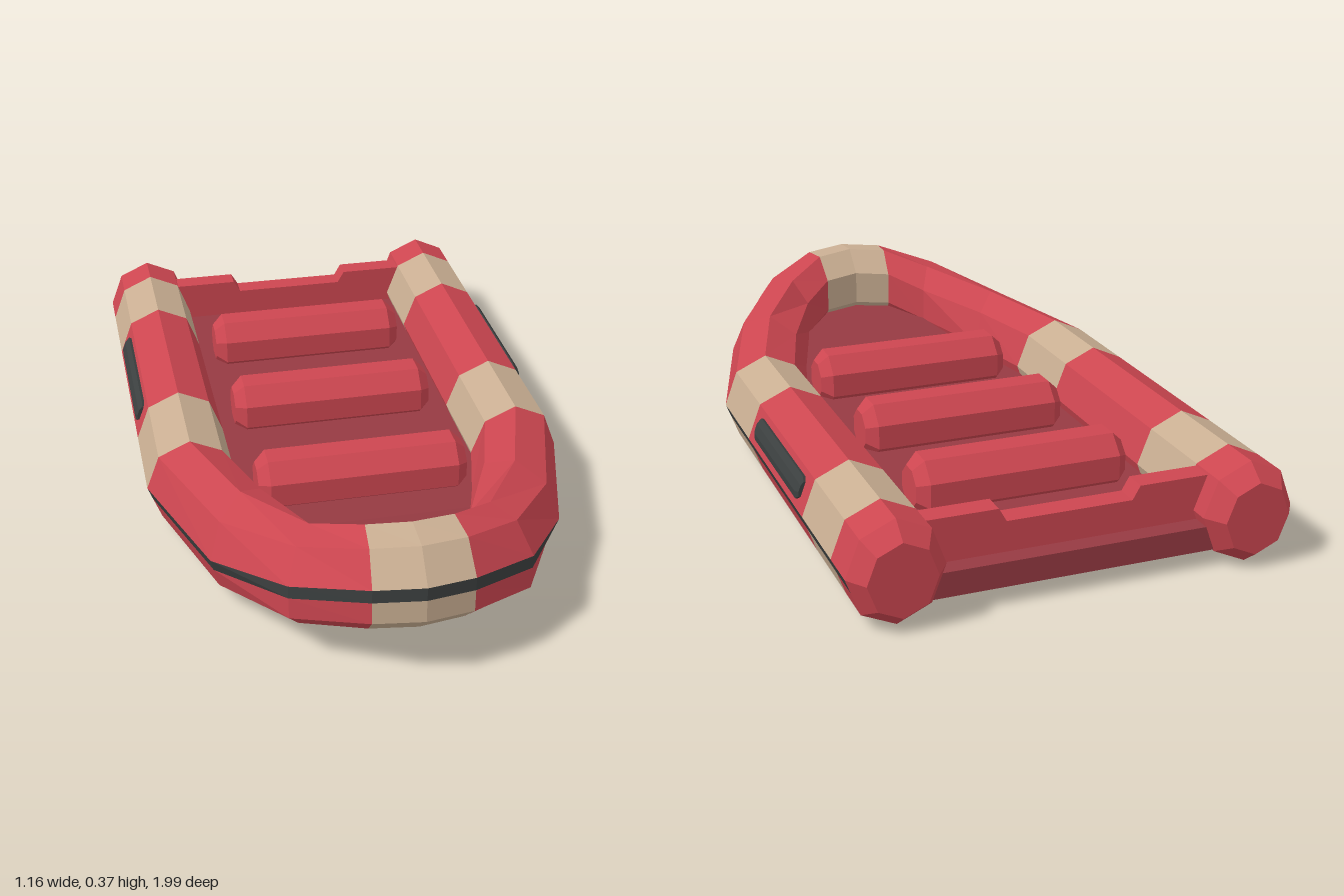
import * as THREE from 'three';

const mat = (color) => new THREE.MeshStandardMaterial({ color, flatShading: true, roughness: 0.8 });
const RED = mat(0xcc4650), TAN = mat(0xc9ae92), DARK = mat(0x3c4040), FLOOR = mat(0x963a42);

const named = (name, geometry, material) => {
  const mesh = new THREE.Mesh(geometry, material);
  mesh.name = name;
  return mesh;
};

// Flat-shaded geometry from a list of triangle corner points
const faceted = (points) => {
  const g = new THREE.BufferGeometry().setFromPoints(points);
  g.computeVertexNormals();
  return g;
};
const quad = (list, a, b, c, d) => list.push(a, b, c, a, c, d);

// Tube stations, stern to bow: centre, outward direction (x, z), tilt in degrees, scale
const side = [
  { c: [0.4575, 0.135, -1], out: [1, 0], tilt: 0, s: 0.71 },
  { c: [0.4575, 0.135, -0.95], out: [1, 0], tilt: 0, s: 1 },
  { c: [0.4575, 0.135, -0.84], out: [1, 0], tilt: 0, s: 1 },
  { c: [0.4575, 0.135, -0.6], out: [1, 0], tilt: 0, s: 1 },
  { c: [0.4575, 0.135, -0.07], out: [1, 0], tilt: 0, s: 1 },
  { c: [0.4575, 0.135, 0.2], out: [1, 0], tilt: 0, s: 1 },
  { c: [0.37, 0.152, 0.5], out: [0.735, 0.816], tilt: 3, s: 1 },
  { c: [0.25, 0.2, 0.755], out: [0.5, 0.86], tilt: 19, s: 0.95 },
  { c: [0.115, 0.242, 0.855], out: [0.1, 0.99], tilt: 20, s: 0.96 },
];
const bow = { c: [0, 0.25, 0.88], out: [0, 1], tilt: 20, s: 0.97 };
const mirrored = side.map((p) => ({ ...p, c: [-p.c[0], p.c[1], p.c[2]], out: [-p.out[0], p.out[1]] }));
const stations = [...side, bow, ...mirrored.reverse()];

// Octagonal section, with one extra point marking the lower edge of the rub strake
function ring({ c, out, tilt, s }) {
  const section = [];
  for (let k = 0; k < 8; k++) {
    const a = (k * Math.PI) / 4;
    section.push(new THREE.Vector2(0.1225 * Math.cos(a), 0.135 * Math.sin(a)));
  }
  section.push(section[7].clone().lerp(section[0], 0.63));
  const t = THREE.MathUtils.degToRad(tilt);
  return section.map((p) => {
    p.rotateAround(new THREE.Vector2(), t).multiplyScalar(s);
    return new THREE.Vector3(c[0] + out[0] * p.x, c[1] + p.y, c[2] + out[1] * p.x);
  });
}

// U-shaped air tube, split into red skin, tan patches and dark strake
function buildTube() {
  const rings = stations.map(ring);
  const last = rings.length - 1;
  const skin = [], patches = [], strake = [];
  const tanSpans = [2, 4, 8];
  for (let i = 0; i < last; i++) {
    const span = Math.min(i, last - 1 - i);
    for (let k = 0; k < 9; k++) {
      const n = (k + 1) % 9;
      const list = k === 8 && span > 0 ? strake : tanSpans.includes(span) ? patches : skin;
      quad(list, rings[i][k], rings[i][n], rings[i + 1][n], rings[i + 1][k]);
    }
  }
  // Stern end caps
  const first = new THREE.Vector3(...stations[0].c), end = new THREE.Vector3(...stations[last].c);
  for (let k = 0; k < 9; k++) {
    const n = (k + 1) % 9;
    skin.push(first, rings[0][n], rings[0][k], end, rings[last][k], rings[last][n]);
  }
  const group = new THREE.Group();
  group.name = 'airTube';
  group.add(
    named('tubeSkin', faceted(skin), RED),
    named('tubePatches', faceted(patches), TAN),
    named('rubStrake', faceted(strake), DARK),
  );
  return group;
}

// Floor slab that narrows and rises toward the bow; rows are z, half width, bottom y
function buildFloor() {
  const rows = [[-0.95, 0.38, 0.045], [0.2, 0.38, 0.045], [0.45, 0.32, 0.058], [0.71, 0.22, 0.11], [0.82, 0.1, 0.14]]
    .map(([z, w, y]) => [[w, y], [w, y + 0.065], [-w, y + 0.065], [-w, y]].map(([px, py]) => new THREE.Vector3(px, py, z)));
  const list = [];
  for (let i = 0; i < rows.length - 1; i++) {
    for (let k = 0; k < 4; k++) {
      const n = (k + 1) % 4;
      quad(list, rows[i][k], rows[i][n], rows[i + 1][n], rows[i + 1][k]);
    }
  }
  quad(list, ...[...rows[0]].reverse());
  quad(list, ...rows[rows.length - 1]);
  return named('floor', faceted(list), FLOOR);
}

// Eight-sided roll along y with bevelled ends and a flat on top
function roll(length, radius, bevel) {
  const h = length / 2, r = radius / Math.cos(Math.PI / 8);
  const profile = [[0, -h], [r * 0.65, -h], [r, -h + bevel], [r, h - bevel], [r * 0.65, h], [0, h]];
  return new THREE.LatheGeometry(profile.map((p) => new THREE.Vector2(...p)), 8).rotateY(Math.PI / 8);
}

// Transom board with a lowered middle
function buildTransom() {
  const shape = new THREE.Shape([
    [-0.38, 0.08], [0.38, 0.08], [0.38, 0.225], [0.185, 0.225], [0.165, 0.19],
    [-0.165, 0.19], [-0.185, 0.225], [-0.38, 0.225],
  ].map((p) => new THREE.Vector2(...p)));
  const g = new THREE.ExtrudeGeometry(shape, { depth: 0.06, bevelEnabled: false });
  return named('transom', g.translate(0, 0, -0.9), RED);
}

export function createModel() {
  const model = new THREE.Group();
  model.name = 'inflatableBoat';
  model.add(buildTube(), buildFloor(), buildTransom());

  // Inflated cross seats
  for (const z of [-0.565, -0.16, 0.26]) {
    const seat = named('seat', roll(0.58, 0.08, 0.03).rotateZ(Math.PI / 2), RED);
    seat.position.set(0, 0.155, z);
    model.add(seat);
  }

  // Grab handles lying on the outer upper faces of the tube
  for (const s of [1, -1]) {
    const g = roll(0.43, 0.031, 0.015).rotateX(Math.PI / 2).scale(0.4, 1, 1);
    const handle = named(s > 0 ? 'leftHandle' : 'rightHandle', g, DARK);
    handle.position.set(s * 0.563, 0.185, -0.335);
    handle.rotation.z = s * 0.35;
    model.add(handle);
  }
  return model;
}
